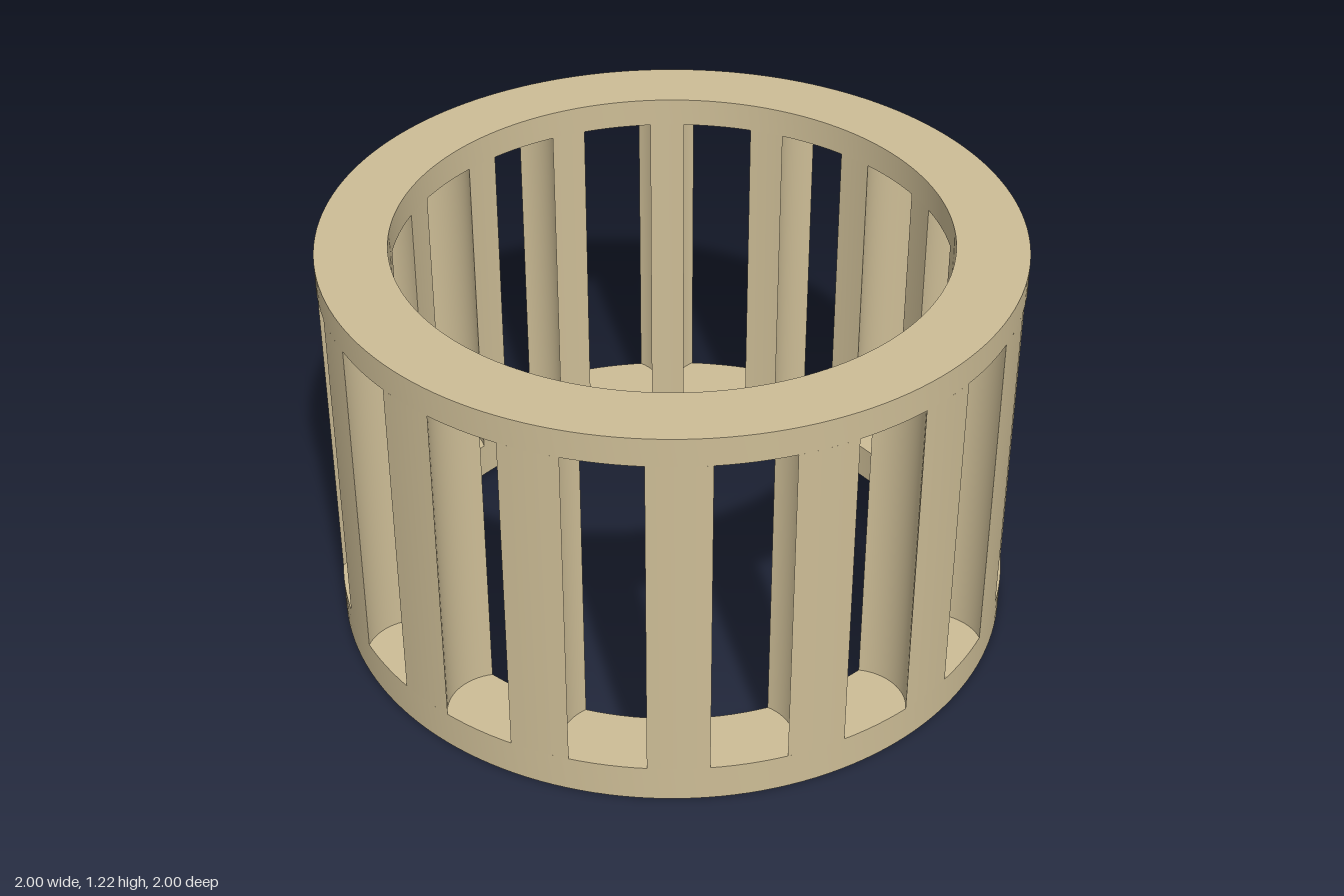
import * as THREE from 'three';
import { toCreasedNormals } from 'three/addons/utils/BufferGeometryUtils.js';

const COUNT = 16;                 // roller pockets around the cage
const OUTER = 1, INNER = 0.795;   // cage radii
const PITCH = 0.894, ROLLER = 0.148; // pocket centre radius, pocket radius
const HEIGHT = 1.215, POCKET_LOW = 0.11, POCKET_HIGH = 1.13;

// Points along an arc, leaving out the end point so that arcs can be chained
function arc(cx, cy, radius, from, to, steps) {
  return Array.from({ length: steps }, (_, i) => {
    const a = from + (to - from) * i / steps;
    return new THREE.Vector2(cx + radius * Math.cos(a), cy + radius * Math.sin(a));
  });
}

// Upright extrusion from y = low to y = high
function extrudeUp(shape, low, high) {
  const geometry = new THREE.ExtrudeGeometry(shape, { depth: high - low, bevelEnabled: false });
  geometry.rotateX(-Math.PI / 2).translate(0, low, 0);
  return toCreasedNormals(geometry, 0.5);
}

// Flat ring
function ringGeometry(low, high) {
  const shape = new THREE.Shape(arc(0, 0, OUTER, 0, Math.PI * 2, 160));
  shape.holes.push(new THREE.Path(arc(0, 0, INNER, 0, Math.PI * 2, 160)));
  return extrudeUp(shape, low, high);
}

// Bar between two pockets, its sides hollowed by the pocket cylinders
function barGeometry() {
  const half = Math.PI / COUNT;
  // Angle from a pocket's centre line to where its cylinder meets radius r
  const opening = r => Math.acos((r * r + PITCH * PITCH - ROLLER * ROLLER) / (2 * r * PITCH));
  // Same corner as an angle around the pocket's own axis
  const corner = r => Math.atan2(r * Math.sin(opening(r)), r * Math.cos(opening(r)) - PITCH);
  const outer = half - opening(OUTER), inner = half - opening(INNER);
  const start = corner(OUTER), end = corner(INNER);
  const cx = PITCH * Math.cos(half), cy = PITCH * Math.sin(half);
  const shape = new THREE.Shape([
    ...arc(0, 0, OUTER, -outer, outer, 6),
    ...arc(cx, cy, ROLLER, half - start, half - end, 16),
    ...arc(0, 0, INNER, inner, -inner, 6),
    ...arc(cx, -cy, ROLLER, end - half, start - half, 16),
  ]);
  return extrudeUp(shape, POCKET_LOW, POCKET_HIGH);
}

export function createModel() {
  const cage = new THREE.Group();
  cage.name = 'rollerCage';
  const material = new THREE.MeshStandardMaterial({ color: 0xcdbd96 });

  const add = (name, geometry) => {
    const mesh = new THREE.Mesh(geometry, material);
    mesh.name = name;
    cage.add(mesh);
    return mesh;
  };

  add('bottomRing', ringGeometry(0, POCKET_LOW));
  add('topRing', ringGeometry(POCKET_HIGH, HEIGHT));

  // Bars, with a pocket centred on the front, back and both sides
  const bar = barGeometry();
  for (let i = 0; i < COUNT; i++) {
    add('bar' + (i + 1), bar).rotation.y = (i + 0.5) * Math.PI * 2 / COUNT;
  }
  return cage;
}
